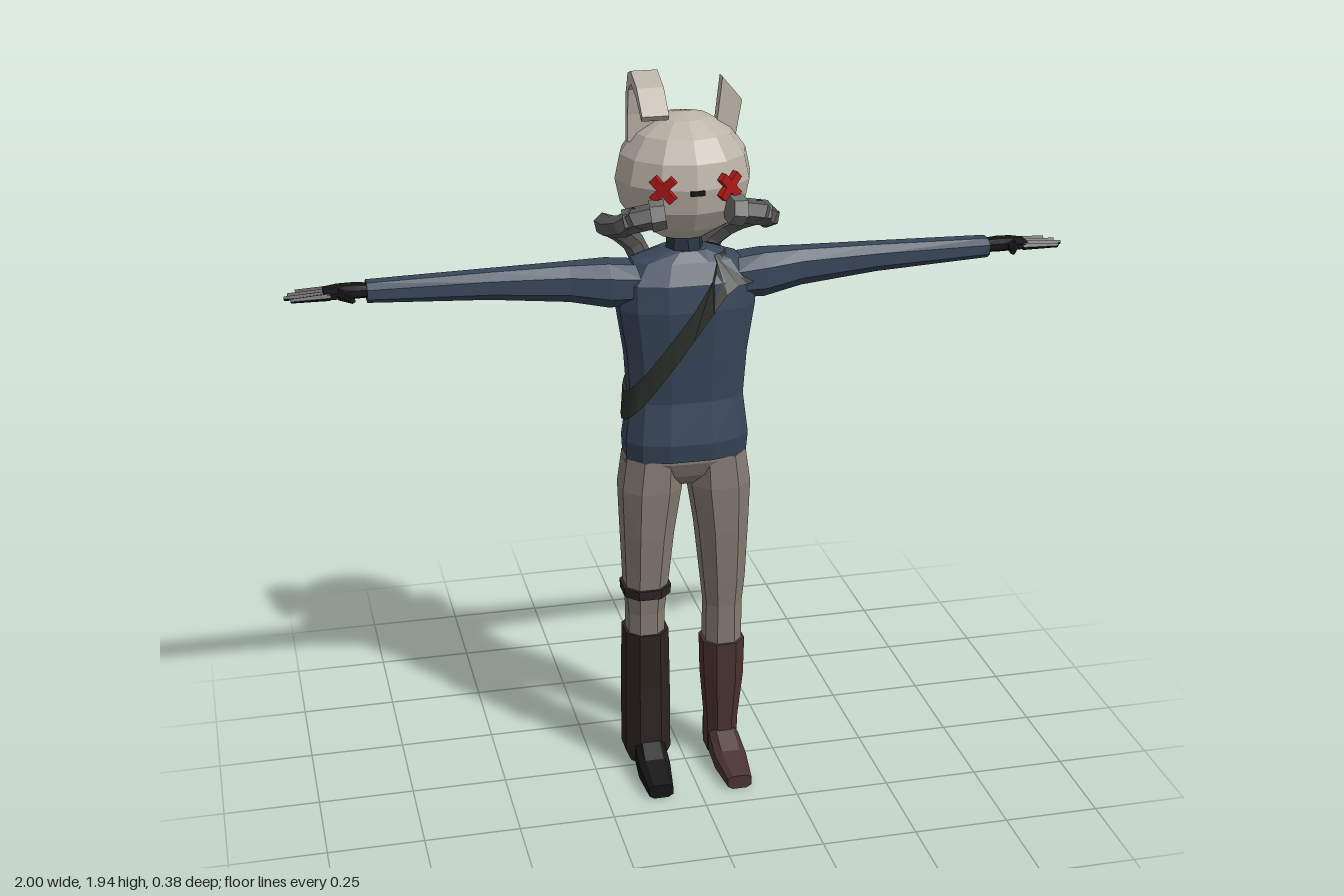
import * as THREE from 'three';

const mat = (color) => new THREE.MeshStandardMaterial({ color, flatShading: true, side: THREE.DoubleSide });
const M = {
  skin: mat(0xbcb3a7), trousers: mat(0x857c72), sweater: mat(0x38475a), neck: mat(0x2a3644),
  brown: mat(0x4a3330), dark: mat(0x2c2421), black: mat(0x141414), hose: mat(0x5a5a5a),
  metal: mat(0x6e6e6c), strap: mat(0x2d312a), red: mat(0xb01818),
};

const V = (x, y, z) => new THREE.Vector3(x, y, z);
const bulge = (v, p) => Math.sign(v) * Math.abs(v) ** p;

// Loft of capped rings; each section is [x, y, z, a, b], lying across the given axis
function loft(sections, axis, n = 8, p = 0.85) {
  const pos = [], idx = [];
  for (const [x, y, z, a, b] of sections) {
    for (let i = 0; i < n; i++) {
      const t = ((i + 0.5) / n) * Math.PI * 2;
      const u = a * bulge(Math.cos(t), p), w = b * bulge(Math.sin(t), p);
      if (axis === 'y') pos.push(x + u, y, z + w);
      else if (axis === 'x') pos.push(x, y + u, z + w);
      else pos.push(x + u, y + w, z);
    }
  }
  const last = (sections.length - 1) * n;
  for (let s = 0; s < last; s += n) {
    for (let i = 0; i < n; i++) {
      const j = (i + 1) % n;
      idx.push(s + i, s + n + i, s + j, s + j, s + n + i, s + n + j);
    }
  }
  for (let i = 1; i < n - 1; i++) idx.push(0, i, i + 1, last, last + i + 1, last + i);
  // Turn the faces outward if the enclosed volume is negative
  const at = (k) => V(pos[k * 3], pos[k * 3 + 1], pos[k * 3 + 2]);
  let vol = 0;
  for (let k = 0; k < idx.length; k += 3) vol += at(idx[k]).dot(at(idx[k + 1]).cross(at(idx[k + 2])));
  if (vol < 0) idx.reverse();
  const g = new THREE.BufferGeometry();
  g.setAttribute('position', new THREE.Float32BufferAttribute(pos, 3));
  g.setIndex(idx);
  g.computeVertexNormals();
  return g;
}

// Torso outline: [y, z centre, half width, half depth]
const TORSO = [
  [0.92, -0.012, 0.163, 0.09], [0.97, -0.008, 0.166, 0.095], [1.08, -0.004, 0.152, 0.075],
  [1.2, -0.002, 0.16, 0.086], [1.33, -0.002, 0.18, 0.098], [1.4, -0.003, 0.18, 0.092],
  [1.45, -0.008, 0.14, 0.07], [1.475, -0.01, 0.06, 0.05],
];
function onTorso(t, y, grow) {
  let k = 0;
  while (k < TORSO.length - 2 && TORSO[k + 1][0] < y) k++;
  const [p, q] = [TORSO[k], TORSO[k + 1]];
  const f = (y - p[0]) / (q[0] - p[0]);
  const [, cz, rx, rz] = p.map((v, i) => v + (q[i] - v) * f);
  return V((rx + grow) * bulge(Math.cos(t), 0.8), y, cz + (rz + grow) * bulge(Math.sin(t), 0.8));
}

// Band slung from the left shoulder to the right hip
function slingGeometry() {
  const n = 32, pos = [], idx = [];
  for (let i = 0; i <= n; i++) {
    const t = (i / n) * Math.PI * 2;
    let y = 1.25;
    for (let k = 0; k < 40; k++) {
      const aim = Math.min(1.435, 1.3 + 1.5 * onTorso(t, y, 0).x);
      y += 0.3 * (aim - y);
    }
    for (const d of [-0.045, 0.035]) pos.push(...onTorso(t, Math.min(y + d, 1.465), 0.008).toArray());
    if (i < n) idx.push(2 * i, 2 * i + 1, 2 * i + 2, 2 * i + 1, 2 * i + 3, 2 * i + 2);
  }
  const g = new THREE.BufferGeometry();
  g.setAttribute('position', new THREE.Float32BufferAttribute(pos, 3));
  g.setIndex(idx);
  g.computeVertexNormals();
  return g;
}

export function createModel() {
  const root = new THREE.Group();
  const add = (name, geo, material, x = 0, y = 0, z = 0, parent = root) => {
    const m = new THREE.Mesh(geo, material);
    m.name = name;
    m.position.set(x, y, z);
    parent.add(m);
    return m;
  };
  const box = (name, w, h, d, material, x, y, z, parent) =>
    add(name, new THREE.BoxGeometry(w, h, d), material, x, y, z, parent);
  // Tapered rod between two points
  const rod = (name, a, b, ra, rb, n, material) => {
    const m = add(name, new THREE.CylinderGeometry(rb, ra, a.distanceTo(b), n), material);
    m.position.copy(a).lerp(b, 0.5);
    m.quaternion.setFromUnitVectors(V(0, 1, 0), b.clone().sub(a).normalize());
    return m;
  };

  // Head and face
  add('head', new THREE.SphereGeometry(0.165, 12, 8), M.skin, 0, 1.657, -0.027).scale.set(1.05, 0.98, 1);
  box('mouth', 0.035, 0.012, 0.012, M.black, 0, 1.652, 0.135);
  add('neck', new THREE.CylinderGeometry(0.043, 0.05, 0.09, 8), M.neck, 0, 1.49, -0.012);
  for (const s of [-1, 1]) {
    const eye = new THREE.Group();
    eye.name = s > 0 ? 'leftEye' : 'rightEye';
    eye.position.set(s * 0.083, 1.662, 0.121);
    eye.rotation.y = s * 0.5;
    for (const r of [-1, 1]) box('eyeBar', 0.075, 0.022, 0.016, M.red, 0, 0, 0, eye).rotation.z = r * 0.8;
    root.add(eye);
  }

  // Folded right ear and torn left ear
  const shape = (pts) => new THREE.Shape(pts.map(([x, y]) => new THREE.Vector2(x, y)));
  const extrude = (pts, depth) => new THREE.ExtrudeGeometry(shape(pts), { depth, bevelEnabled: false });
  const folded = extrude([[-0.015, 1.75], [-0.01, 1.82], [0.002, 1.885], [0.03, 1.905], [0.09, 1.885], [0.15, 1.842],
    [0.16, 1.855], [0.1, 1.91], [0.03, 1.937], [-0.005, 1.925], [-0.035, 1.86], [-0.04, 1.75]], 0.066);
  add('rightEar', folded.rotateY(-Math.PI / 2), M.skin, -0.076);
  add('leftEar', extrude([[0.08, 1.75], [0.13, 1.74], [0.148, 1.84], [0.098, 1.9]], 0.03), M.skin, 0, 0, -0.045);

  // Sweater, sling and pockets
  add('sweater', loft(TORSO.map(([y, z, a, b]) => [0, y, z, a, b]), 'y', 12, 0.8), M.sweater);
  add('sling', slingGeometry(), M.strap);
  box('beltPouch', 0.06, 0.06, 0.04, M.strap, -0.075, 1.08, -0.09);
  box('backPocket', 0.08, 0.05, 0.02, M.sweater, 0.06, 1.05, -0.08);

  // Backpack
  box('backpack', 0.2, 0.17, 0.07, M.metal, 0, 1.285, -0.127);
  box('backpackBand', 0.212, 0.075, 0.078, M.black, 0, 1.29, -0.13);
  box('backpackBase', 0.15, 0.04, 0.05, M.metal, 0, 1.21, -0.125);

  for (const s of [-1, 1]) {
    const side = s > 0 ? 'left' : 'right';
    // Breathing hose around the head to the backpack
    const path = new THREE.CatmullRomCurve3([
      V(s * 0.15, 1.6, 0.135), V(s * 0.19, 1.565, 0.09), V(s * 0.205, 1.55, 0),
      V(s * 0.165, 1.51, -0.09), V(s * 0.105, 1.455, -0.135), V(s * 0.065, 1.36, -0.13),
    ]);
    add(side + 'Hose', new THREE.TubeGeometry(path, 9, 0.029, 6), M.hose);
    rod(side + 'Filter', V(s * 0.18, 1.585, 0.115), V(s * 0.085, 1.605, 0.13), 0.032, 0.032, 6, M.hose);
    rod(side + 'FilterCap', V(s * 0.115, 1.6, 0.126), V(s * 0.08, 1.605, 0.132), 0.04, 0.036, 6, M.metal);
    box(side + 'HoseCollar', 0.075, 0.06, 0.06, M.metal, s * 0.062, 1.37, -0.13);

    // Sleeve
    add(side + 'Sleeve', loft([
      [s * 0.12, 1.392, -0.005, 0.055, 0.07], [s * 0.2, 1.395, -0.005, 0.061, 0.066],
      [s * 0.3, 1.405, -0.005, 0.05, 0.048], [s * 0.5, 1.414, -0.004, 0.038, 0.04],
      [s * 0.8, 1.42, 0, 0.027, 0.036],
    ], 'x'), M.sweater);

    // Gloved hand with four fingers and a thumb
    add(side + 'Palm', loft([
      [s * 0.78, 1.422, 0, 0.016, 0.024], [s * 0.83, 1.424, 0, 0.018, 0.032],
      [s * 0.87, 1.424, 0, 0.016, 0.04], [s * 0.905, 1.422, 0, 0.012, 0.038],
    ], 'x'), M.black);
    [0.97, 0.99, 1, 0.985].forEach((tip, i) => {
      const z = -0.03 + i * 0.02;
      rod(side + 'Finger', V(s * 0.89, 1.422, z), V(s * tip, 1.42, z * 1.15), 0.01, 0.006, 5, M.black);
    });
    rod(side + 'Thumb', V(s * 0.865, 1.424, 0.02), V(s * 0.84, 1.428, 0.092), 0.016, 0.007, 5, M.black);

    // Trouser leg
    add(side + 'Leg', loft([
      [s * 0.085, 0.92, -0.018, 0.078, 0.085], [s * 0.092, 0.83, -0.018, 0.084, 0.087],
      [s * 0.1, 0.7, -0.018, 0.071, 0.079], [s * 0.105, 0.55, -0.018, 0.06, 0.064],
      [s * 0.106, 0.47, -0.02, 0.052, 0.055], [s * 0.106, 0.33, -0.024, 0.053, 0.056],
    ], 'y'), M.trousers);

    // Foot
    add(side + 'Foot', loft([
      [s * 0.104, 0.05, -0.085, 0.036, 0.05], [s * 0.104, 0.05, 0.02, 0.042, 0.05],
      [s * 0.106, 0.032, 0.09, 0.045, 0.032], [s * 0.108, 0.02, 0.185, 0.034, 0.02],
    ], 'z', 8, 0.6), s > 0 ? M.brown : M.black);
  }

  // Hips
  add('hips', loft([
    [0, 0.96, -0.012, 0.155, 0.082], [0, 0.91, -0.018, 0.167, 0.088], [0, 0.87, -0.018, 0.12, 0.07],
    [0, 0.84, -0.02, 0.04, 0.05],
  ], 'y', 12), M.trousers);

  // Tall left boot, wide right legging and knee strap
  add('leftBoot', loft([
    [0.104, 0.02, -0.025, 0.043, 0.06], [0.104, 0.12, -0.022, 0.045, 0.055],
    [0.106, 0.25, -0.022, 0.058, 0.062], [0.106, 0.36, -0.022, 0.061, 0.062],
  ], 'y'), M.brown);
  add('rightLegging', loft([
    [-0.104, 0.015, -0.03, 0.05, 0.06], [-0.104, 0.05, -0.03, 0.066, 0.074],
    [-0.104, 0.25, -0.03, 0.065, 0.072], [-0.104, 0.41, -0.03, 0.062, 0.072],
  ], 'y'), M.dark);
  add('kneeStrap', loft([
    [-0.105, 0.522, -0.018, 0.066, 0.07], [-0.105, 0.548, -0.018, 0.068, 0.072],
  ], 'y'), M.dark);

  return root;
}
